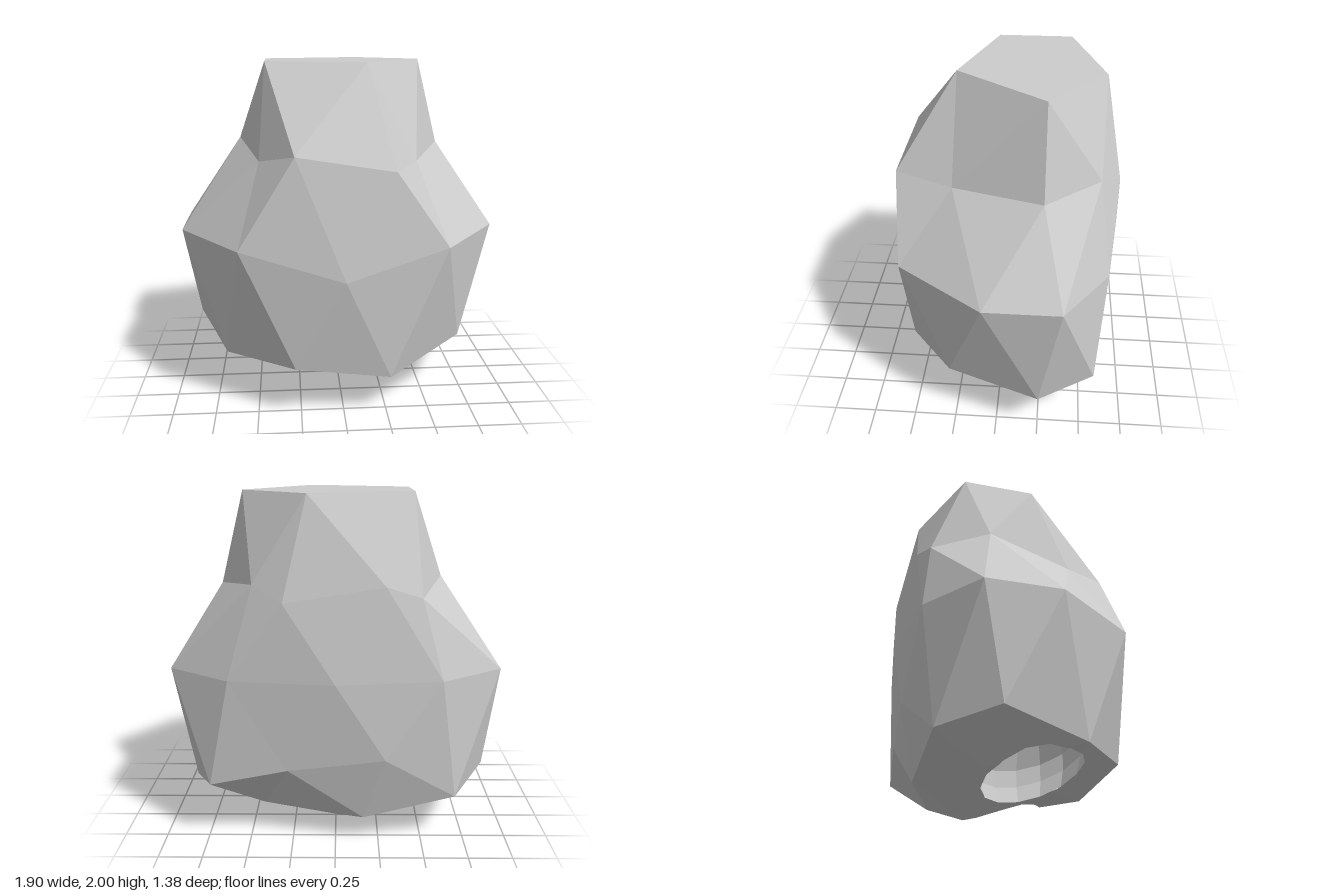
import * as THREE from 'three';

const V = (p) => new THREE.Vector3(...p);

// Cross-sections from top to bottom, each running round from +x towards +z
const crown = [[0.52, 2, -0.25], [0.15, 2, 0.25], [-0.43, 2, 0.06], [-0.43, 2, -0.37], [0.15, 2, -0.56]].map(V);
const shoulder = [
  [0.65, 1.48, -0.25], [0.44, 1.44, 0.26], [0.28, 1.44, 0.6], [-0.27, 1.52, 0.56], [-0.47, 1.45, 0.27],
  [-0.6, 1.52, -0.25], [-0.47, 1.45, -0.57], [-0.27, 1.52, -0.62], [0.28, 1.44, -0.66], [0.45, 1.52, -0.55],
].map(V);
const waist = [
  [0.95, 1, 0.06], [0.59, 1, 0.56], [0, 0.85, 0.69], [-0.59, 1, 0.56], [-0.95, 1, 0.06],
  [-0.95, 1, -0.37], [-0.59, 1, -0.62], [0, 1, -0.69], [0.59, 1, -0.62], [0.95, 1, -0.37],
].map(V);
const lower = [
  [0.85, 0.28, -0.25], [0.72, 0.36, 0.28], [0.27, 0.23, 0.57], [-0.28, 0.31, 0.6], [-0.69, 0.28, 0.26],
  [-0.89, 0.36, -0.25], [-0.69, 0.28, -0.55], [-0.28, 0.55, -0.66], [0.27, 0.47, -0.62], [0.72, 0.36, -0.57],
].map(V);
const foot = [[0.43, 0.15, 0.06], [-0.16, 0.15, 0.25], [-0.53, 0.15, -0.25], [-0.16, 0.15, -0.56], [0.43, 0.15, -0.37]].map(V);

// Cap of twenty facets joining a tip, a five-point ring and a ten-point ring
function cap(tip, five, ten, shift, flip) {
  const tris = [];
  for (let k = 0; k < 5; k++) {
    const a = five[k], b = five[(k + 1) % 5];
    const [o0, o1, o2] = [0, 1, 2].map((i) => ten[(2 * k + i + shift) % 10]);
    tris.push([tip, b, a], [a, o1, o0], [b, o2, o1], [o1, a, b]);
  }
  return flip ? tris.map(([a, b, c]) => [a, c, b]) : tris;
}

// Zigzag bands between the ten-point rings
function bands() {
  const tris = [];
  for (let j = 0; j < 10; j++) {
    const n = (j + 1) % 10;
    tris.push([shoulder[j], shoulder[n], waist[j]], [waist[j], shoulder[n], waist[n]]);
    tris.push([lower[j], waist[j], lower[n]], [waist[j], waist[n], lower[n]]);
  }
  return tris;
}

// Which side of the line a-b, seen in the ground plane, p lies on
const side = (a, b, p) => (b.x - a.x) * (p.z - a.z) - (b.z - a.z) * (p.x - a.x);

// Keep the part of a convex polygon on one side of a line
function clip(poly, a, b, sign) {
  const out = [];
  poly.forEach((p, i) => {
    const q = poly[(i + 1) % poly.length];
    const dp = sign * side(a, b, p), dq = sign * side(a, b, q);
    if (dp >= 0) out.push(p);
    if (dp * dq < 0) out.push(p.clone().lerp(q, dp / (dp - dq)));
  });
  return out;
}

// Cut a convex hole out of a list of polygons
function cutHole(polys, hole) {
  const result = [];
  for (const poly of polys) {
    let rest = poly;
    for (let i = 0; i < hole.length && rest.length > 2; i++) {
      const a = hole[i], b = hole[(i + 1) % hole.length];
      const outside = clip(rest, a, b, -1);
      if (outside.length > 2) result.push(outside);
      rest = clip(rest, a, b, 1);
    }
  }
  return result;
}

// Height of the underside at a point
function heightAt(tris, x, z) {
  const flat = (p) => new THREE.Vector3(p.x, 0, p.z);
  for (const t of tris) {
    const w = new THREE.Triangle(...t.map(flat)).getBarycoord(new THREE.Vector3(x, 0, z), new THREE.Vector3());
    if (w && Math.min(w.x, w.y, w.z) > -1e-6) return w.x * t[0].y + w.y * t[1].y + w.z * t[2].y;
  }
  return 0.15;
}

// Rounded pocket rising from its rim into the body
function pocket(rim, centre) {
  const profile = [[1, 0], [1.1, 0.1], [1.12, 0.2], [0.95, 0.33], [0.55, 0.42], [0.001, 0.46]];
  const rings = profile.map(([f, rise], r) => rim.map((p) => {
    const q = centre.clone().lerp(p, f);
    q.y += rise;
    return q;
  }));
  const tris = [];
  for (let r = 0; r < rings.length - 1; r++) {
    rim.forEach((_, i) => {
      const n = (i + 1) % rim.length, a = rings[r], b = rings[r + 1];
      tris.push([a[i], a[n], b[i]], [a[n], b[n], b[i]]);
    });
  }
  return tris;
}

// Faceted mesh from convex polygons
function facetMesh(name, polys, material) {
  const pos = [];
  for (const p of polys) {
    for (let i = 1; i < p.length - 1; i++) {
      for (const v of [p[0], p[i], p[i + 1]]) pos.push(v.x, v.y, v.z);
    }
  }
  const geo = new THREE.BufferGeometry();
  geo.setAttribute('position', new THREE.Float32BufferAttribute(pos, 3));
  geo.computeVertexNormals();
  const mesh = new THREE.Mesh(geo, material);
  mesh.name = name;
  return mesh;
}

export function createModel() {
  const group = new THREE.Group();
  group.name = 'facetedBoulder';
  const stone = new THREE.MeshStandardMaterial({ color: 0xcccccc });
  stone.name = 'stone grey';

  // Flat-topped upper body
  group.add(facetMesh('upperBody', [...cap(V([0, 2, -0.17]), crown, shoulder, 0, false), ...bands()], stone));

  // Underside with two round pockets
  const underside = cap(V([0, 0, -0.24]), foot, lower, 1, true);
  let base = underside;
  for (const [name, x] of [['leftPocket', 0.395], ['rightPocket', -0.395]]) {
    const at = (px, pz) => new THREE.Vector3(px, heightAt(underside, px, pz), pz);
    const centre = at(x, 0.05);
    const rim = Array.from({ length: 14 }, (_, i) => {
      const a = (i / 14) * Math.PI * 2;
      return at(x + 0.28 * Math.cos(a), 0.05 + 0.28 * Math.sin(a));
    });
    base = cutHole(base, rim);
    group.add(facetMesh(name, pocket(rim, centre), stone));
  }
  group.add(facetMesh('underside', base, stone));
  return group;
}
